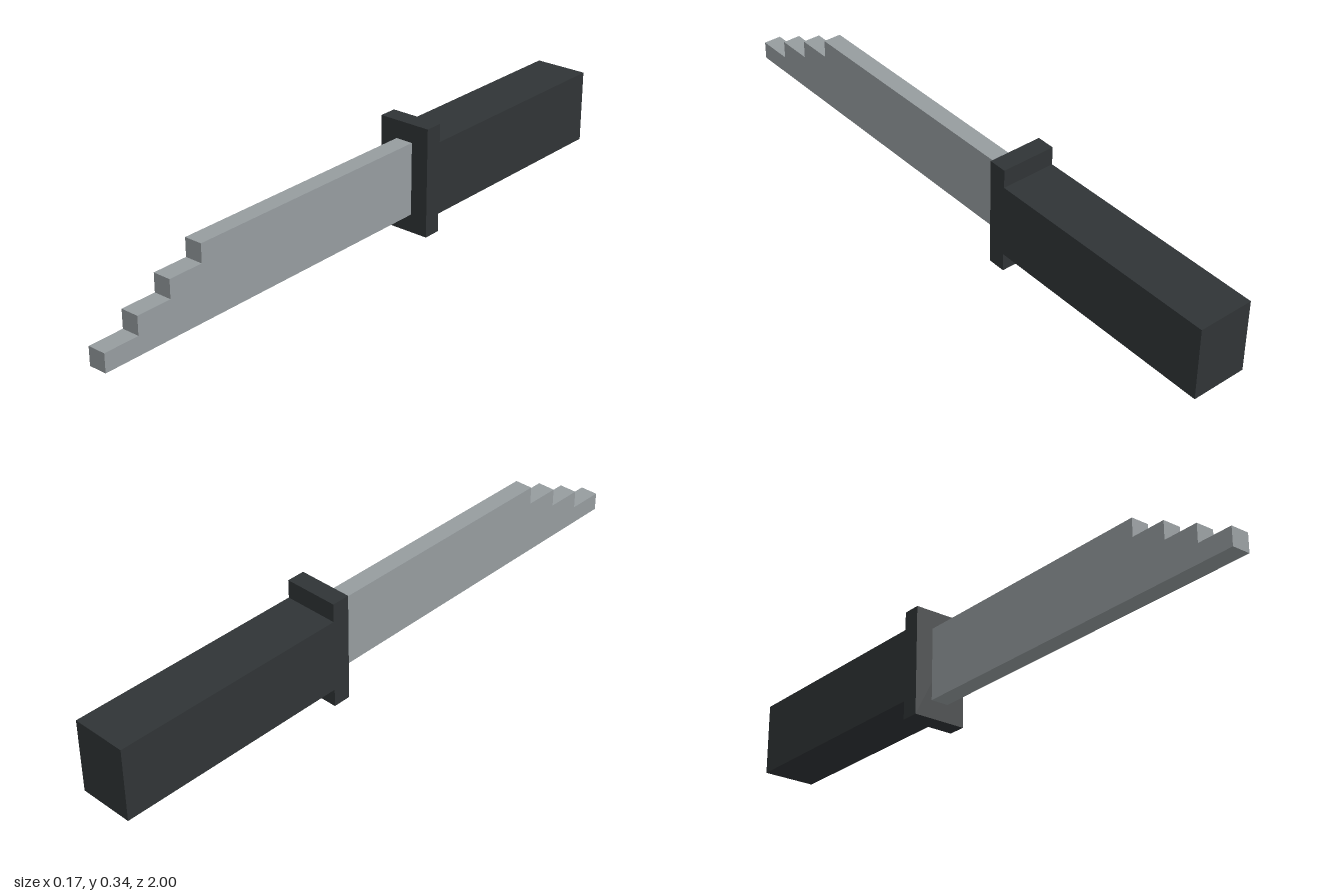
import * as THREE from 'three';

const U = 2 / 35; // modelling unit: the knife is 35 units long

export function createModel() {
  const group = new THREE.Group();
  const dark = new THREE.MeshStandardMaterial({ color: 0x303436, flatShading: true });
  const steel = new THREE.MeshStandardMaterial({ color: 0x969c9f, flatShading: true });

  // box spanning z0..z1 and y0..y1, centred on x
  const addBox = (name, width, y0, y1, z0, z1) => {
    const geometry = new THREE.BoxGeometry(width * U, (y1 - y0) * U, (z1 - z0) * U);
    const mesh = new THREE.Mesh(geometry, dark);
    mesh.position.set(0, (y0 + y1) / 2 * U, (z0 + z1) / 2 * U);
    mesh.name = name;
    group.add(mesh);
  };
  addBox('handle', 3, 1, 5, -17.5, -4.5);
  addBox('guard', 3, 0, 6, -4.5, -3.5);

  // blade: side profile with a stepped tip, extruded across x
  const profile = new THREE.Shape();
  profile.moveTo(-3.5 * U, U);
  profile.lineTo(17.5 * U, U);
  for (let i = 0; i < 4; i++) {
    const z = (17.5 - 2 * i) * U;
    const y = (2 + i) * U;
    profile.lineTo(z, y);
    profile.lineTo(i < 3 ? z - 2 * U : -3.5 * U, y);
  }
  const bladeGeometry = new THREE.ExtrudeGeometry(profile, { depth: U, bevelEnabled: false });
  bladeGeometry.translate(0, 0, -U / 2).rotateY(-Math.PI / 2);
  const blade = new THREE.Mesh(bladeGeometry, steel);
  blade.name = 'blade';
  group.add(blade);

  return group;
}
